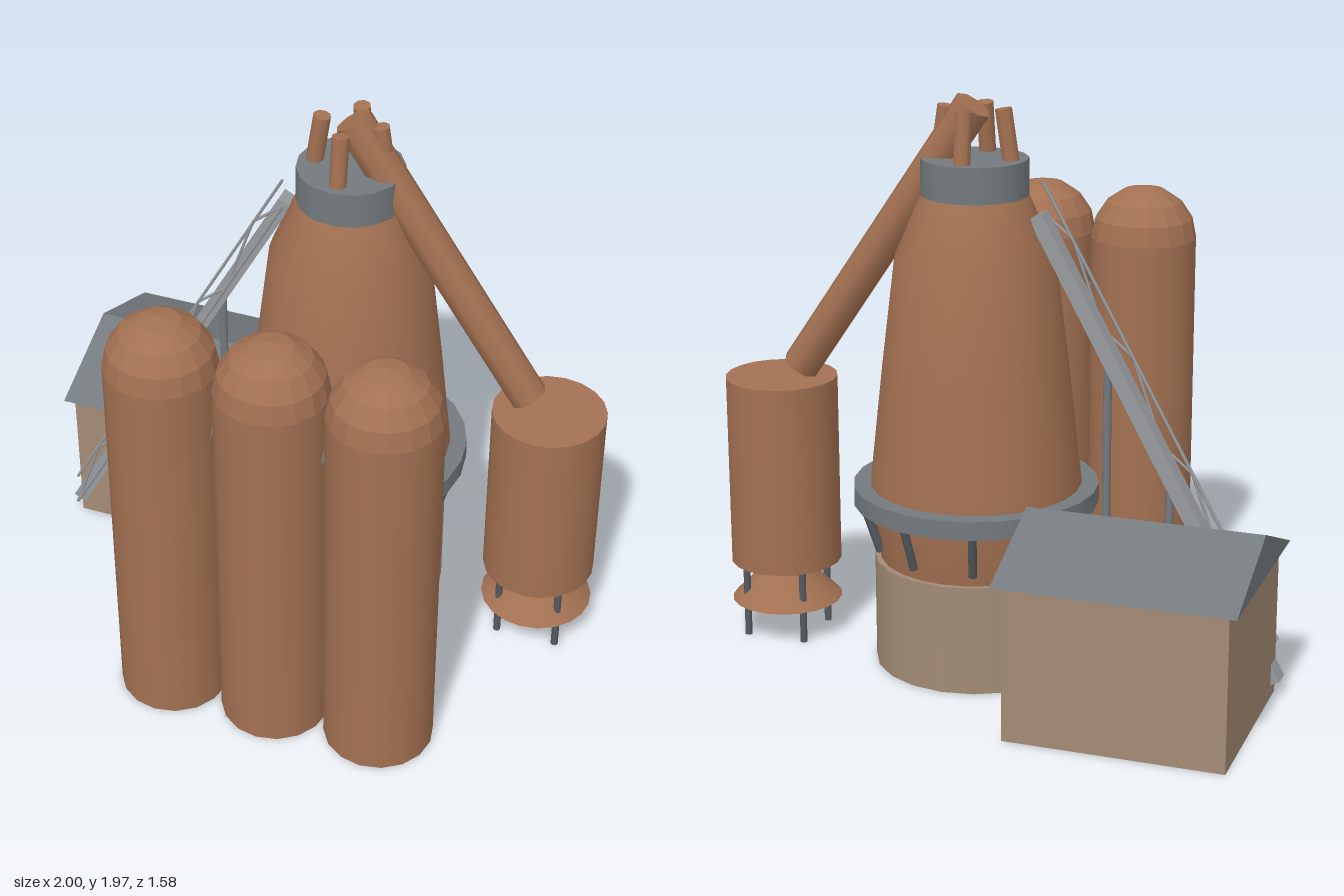
import * as THREE from 'three';
import { toCreasedNormals } from 'three/addons/utils/BufferGeometryUtils.js';

const material = (name, color) => {
  const m = new THREE.MeshStandardMaterial({ color });
  m.name = name;
  return m;
};

export function createModel() {
  const rust = material('rust brown', 0xa37152);
  const grey = material('steel grey', 0x747a7e);
  const dark = material('dark steel', 0x565b60);
  const pale = material('pale steel', 0x989b9e);
  const stone = material('tan masonry', 0xa28b74);

  const model = new THREE.Group();
  model.name = 'blastFurnacePlant';
  const V = (x, y, z) => new THREE.Vector3(x, y, z);
  const UP = V(0, 1, 0);
  const FX = 0.085, FZ = -0.12; // furnace axis

  function add(name, geo, mat, x = 0, y = 0, z = 0, parent = model) {
    const mesh = new THREE.Mesh(geo, mat);
    mesh.name = name;
    mesh.position.set(x, y, z);
    parent.add(mesh);
    return mesh;
  }
  // Upright cylinder between two heights
  function drum(name, r, y0, y1, mat, x, z, sides = 20, parent = model) {
    return add(name, new THREE.CylinderGeometry(r, r, y1 - y0, sides), mat, x, (y0 + y1) / 2, z, parent);
  }
  // Straight round bar between two points
  function bar(name, a, b, r, mat, sides = 8, parent = model) {
    const mesh = add(name, new THREE.CylinderGeometry(r, r, a.distanceTo(b), sides), mat, 0, 0, 0, parent);
    mesh.position.copy(a).add(b).multiplyScalar(0.5);
    mesh.quaternion.setFromUnitVectors(UP, b.clone().sub(a).normalize());
    return mesh;
  }
  const lathe = (pts, sides) =>
    new THREE.LatheGeometry(pts.map(([r, y]) => new THREE.Vector2(r, y)), sides);

  // Furnace: foundation, tapered shell, top collar
  drum('foundation', 0.35, 0, 0.38, stone, FX, FZ);
  add('furnaceShell', lathe([[0.33, 0.38], [0.362, 0.6], [0.36, 0.66], [0.318, 1.04],
    [0.27, 1.43], [0.18, 1.64]], 24), rust, FX, 0, FZ);
  drum('topCollar', 0.18, 1.63, 1.762, grey, FX, FZ, 16);

  // Hot blast ring and its tuyeres
  const ring = lathe([[0.355, 0.575], [0.42, 0.575], [0.42, 0.64], [0.355, 0.64], [0.355, 0.575]], 24);
  add('blastRing', toCreasedNormals(ring, 0.6), grey, FX, 0, FZ);
  const tuyeres = new THREE.Group();
  tuyeres.name = 'tuyeres';
  model.add(tuyeres);
  for (let i = 0; i < 10; i++) {
    const a = (i / 10) * Math.PI * 2, c = Math.cos(a), s = Math.sin(a);
    bar('tuyere', V(FX + 0.395 * c, 0.59, FZ + 0.395 * s),
      V(FX + 0.34 * c, 0.42, FZ + 0.34 * s), 0.015, dark, 8, tuyeres);
  }

  // Four gas uptakes leaning inward
  for (const [dx, dz] of [[1, 0], [-1, 0], [0, 1], [0, -1]]) {
    bar('gasUptake', V(FX + 0.13 * dx, 1.73, FZ + 0.13 * dz),
      V(FX + 0.1 * dx, 1.93, FZ + 0.1 * dz), 0.03, rust);
  }
  // Downcomer to the dust catcher
  bar('downcomer', V(0.09, 1.935, FZ), V(0.73, 0.988, FZ), 0.065, rust);

  // Dust catcher with skirt cone and legs
  const DX = 0.805;
  drum('dustCatcher', 0.195, 0.27, 0.945, rust, DX, FZ);
  add('dustCatcherCone', new THREE.ConeGeometry(0.195, 0.195, 20), rust, DX, 0.2225, FZ);
  for (const sx of [-1, 1]) for (const sz of [-1, 1]) {
    drum('dustCatcherLeg', 0.013, 0, 0.29, dark, DX + sx * 0.107, FZ + sz * 0.107, 8);
  }

  // Three domed stoves in a row
  const dome = new THREE.SphereGeometry(0.188, 16, 4, 0, Math.PI * 2, 0, Math.PI / 2).toNonIndexed();
  dome.computeVertexNormals();
  for (let i = -1; i <= 1; i++) {
    const stove = new THREE.Group();
    stove.name = 'stove';
    stove.position.set(FX + i * 0.376, 0, 0.597);
    model.add(stove);
    drum('stoveBody', 0.188, 0, 1.365, rust, 0, 0, 16, stove);
    add('stoveDome', dome, rust, 0, 1.362, 0, stove);
  }
  // Hot blast main linking the stoves, with a branch to the ring
  bar('blastMain', V(-0.29, 1.155, 0.597), V(0.46, 1.155, 0.597), 0.04, grey);
  bar('blastBranch', V(FX, 1.175, 0.597), V(FX, 0.61, 0.225), 0.042, grey);

  // Stock house with gable roof
  add('stockHouse', new THREE.BoxGeometry(0.74, 0.535, 0.67), stone, -0.6, 0.2675, -0.425);
  const gable = new THREE.Shape([new THREE.Vector2(-0.365, 0), new THREE.Vector2(0.365, 0),
    new THREE.Vector2(0, 0.148)]);
  const roof = add('stockHouseRoof', new THREE.ExtrudeGeometry(gable, { depth: 0.8, bevelEnabled: false }),
    grey, -1, 0.533, -0.425);
  roof.rotation.y = Math.PI / 2;

  // Inclined skip bridge
  const low = V(-0.98, 0.05, FZ), high = V(-0.135, 1.585, FZ);
  const along = high.clone().sub(low);
  const span = along.length();
  const deck = add('skipBridgeDeck', new THREE.BoxGeometry(0.05, span, 0.064), pale);
  deck.position.copy(low).add(high).multiplyScalar(0.5);
  deck.quaternion.setFromUnitVectors(UP, along.clone().normalize());

  // Lattice along the bridge's front side
  const chord = (t, lift) => low.clone().addScaledVector(along, t).add(V(0, lift, 0.05));
  bar('lowerChord', chord(0, 0), chord(1, 0), 0.007, pale, 6);
  bar('upperChord', chord(0.01, 0.11), chord(1, 0.1), 0.006, pale, 6);
  const bays = 8;
  for (let i = 0; i < bays; i++) {
    const up = i % 2 === 0;
    bar('latticeBrace', chord(i / bays, up ? 0 : 0.105),
      chord((i + 1) / bays, up ? 0.105 : 0), 0.005, pale, 6);
  }

  // Bridge posts
  for (const x of [-0.6, -0.38]) {
    const y = low.y + (x - low.x) * along.y / along.x;
    drum('bridgePost', 0.015, 0, y, grey, x, FZ, 8);
  }
  return model;
}
